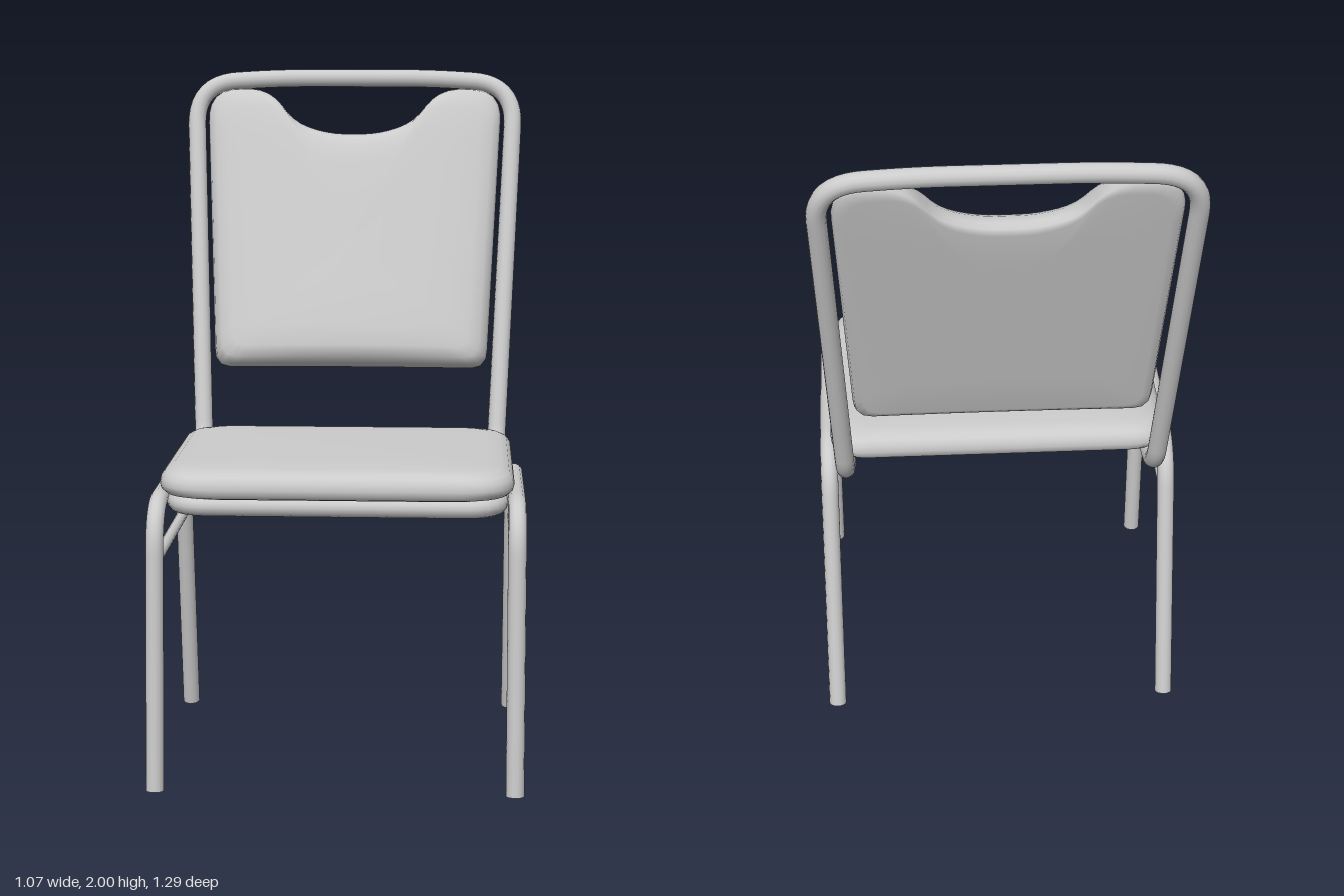
import * as THREE from 'three';

const material = new THREE.MeshStandardMaterial({ color: 0xcccccc });
const V = (p) => new THREE.Vector3(p[0], p[1], p[2] || 0);

// Polyline with rounded corners; each point is [x, y, z, cornerRadius]
function roundPath(points, closed) {
  const path = new THREE.CurvePath();
  const n = points.length;
  const line = (a, b) => { if (a.distanceTo(b) > 1e-5) path.add(new THREE.LineCurve3(a, b)); };
  const start = closed ? V(points[n - 1]).lerp(V(points[0]), 0.5) : V(points[0]);
  let from = start;
  for (let i = closed ? 0 : 1; i < (closed ? n : n - 1); i++) {
    const p = V(points[i]);
    const prev = V(points[(i + n - 1) % n]);
    const next = V(points[(i + 1) % n]);
    const r = Math.min(points[i][3], p.distanceTo(prev) / 2, p.distanceTo(next) / 2);
    const a = p.clone().add(prev.sub(p).setLength(r));
    const b = p.clone().add(next.sub(p).setLength(r));
    line(from, a);
    path.add(new THREE.QuadraticBezierCurve3(a, p, b));
    from = b;
  }
  line(from, closed ? start : V(points[n - 1]));
  return path;
}

// Round tube along a path, with flat caps when it is open
function tube(name, points, radius, segments, closed = false) {
  const group = new THREE.Group();
  group.name = name;
  const path = roundPath(points, closed);
  group.add(new THREE.Mesh(new THREE.TubeGeometry(path, segments, radius, 14, closed), material));
  if (!closed) {
    for (const end of [0, 1]) {
      const cap = new THREE.Mesh(new THREE.CircleGeometry(radius, 14), material);
      const outward = path.getTangentAt(end).multiplyScalar(end ? 1 : -1);
      cap.position.copy(path.getPointAt(end));
      cap.quaternion.setFromUnitVectors(new THREE.Vector3(0, 0, 1), outward);
      group.add(cap);
    }
  }
  group.children.forEach((m) => { m.name = name; });
  return group;
}

// Padded form: the outline is scaled about a centre into rings [scale, depth]
function cushion(name, outline, centre, rings, place) {
  const N = 120;
  const edge = roundPath(outline, true).getSpacedPoints(N).slice(0, N);
  const positions = [], index = [];
  rings.forEach(([s, d], i) => {
    edge.forEach((p, j) => {
      const x = centre[0] + (p.x - centre[0]) * s;
      const y = centre[1] + (p.y - centre[1]) * s;
      positions.push(...place(x, y, d));
      if (i === rings.length - 1) return;
      const k = (j + 1) % N;
      const a = i * N + j, b = i * N + k, c = b + N, e = a + N;
      if (s > 0) index.push(a, b, e);
      if (rings[i + 1][0] > 0) index.push(b, c, e);
      else if (s > 0) return;
    });
  });
  const geometry = new THREE.BufferGeometry();
  geometry.setAttribute('position', new THREE.Float32BufferAttribute(positions, 3));
  geometry.setIndex(index);
  geometry.computeVertexNormals();
  const mesh = new THREE.Mesh(geometry, material);
  mesh.name = name;
  return mesh;
}

const mirror = (half) => [...half, ...half.slice().reverse().map(([x, ...rest]) => [-x, ...rest])];

// Depth of the reclined back plane at height y
const backZ = (y) => -0.272 - 0.312 * (y - 0.88);

export function createModel() {
  const model = new THREE.Group();
  model.name = 'chair';

  // One continuous loop: front bar, seat rails, uprights and top handle
  model.add(tube('mainFrame', mirror([
    [0.455, 0.812, 0.552, 0.1],
    [0.455, 0.814, backZ(0.814), 0.1],
    [0.509, 1.955, backZ(1.955), 0.15],
    [0.24, 1.972, backZ(1.972), 0.1],
  ]), 0.028, 260, true));

  // Bent leg loops with a thin brace on each side
  for (const side of [1, -1]) {
    const x = 0.508 * side;
    const name = side > 0 ? 'left' : 'right';
    model.add(tube(name + 'Legs', [
      [x, 0.004, 0.622], [x, 0.81, 0.558, 0.13],
      [x, 0.81, -0.122, 0.13], [x, 0.004, -0.285],
    ], 0.026, 110));
    model.add(tube(name + 'Brace', [[x, 0.65, 0.57], [x, 0.65, -0.152]], 0.016, 1));
  }

  // Cross bars under the seat
  for (const z of [0.37, 0.02]) {
    model.add(tube('seatCrossBar', [[-0.46, 0.785, z], [0.46, 0.785, z]], 0.018, 1));
  }

  // Seat pad, its outline drawn in x and -z
  model.add(cushion('seat', [
    [-0.5, -0.626, 0, 0.16], [0.5, -0.626, 0, 0.16],
    [0.5, 0.203, 0, 0.1], [-0.5, 0.203, 0, 0.1],
  ], [0, -0.21], [
    [0, 0.838], [0.6, 0.838], [0.92, 0.838], [0.97, 0.844], [0.993, 0.855], [1, 0.87],
    [0.993, 0.888], [0.97, 0.903], [0.93, 0.914], [0.85, 0.922], [0.6, 0.927], [0, 0.927],
  ], (x, w, d) => [x, d, -w]));

  // Backrest pad with a scooped hand hold, bulging forward from the frame plane
  const scoop = [
    [0.425, 1.075, 0, 0.05], [0.47, 1.935, 0, 0.13], [0.275, 1.937, 0, 0.08],
    [0.19, 1.828, 0, 0.05], [0.08, 1.79, 0, 0.06],
  ];
  model.add(cushion('backrest', mirror(scoop), [0, 1.45], [
    [0, 0], [0.6, 0], [0.93, 0], [0.985, 0.08], [1, 0.3], [0.985, 0.62],
    [0.94, 0.85], [0.86, 0.95], [0.7, 0.99], [0.4, 1], [0, 1],
  ], (x, y, d) => {
    const t = (y - 1.075) / 0.86;
    const out = d * (0.135 - 0.05 * t) * (1 - 0.4 * (x / 0.45) ** 2) - 0.01;
    return [x, y + out * 0.298, backZ(y) + out * 0.955];
  }));

  return model;
}
